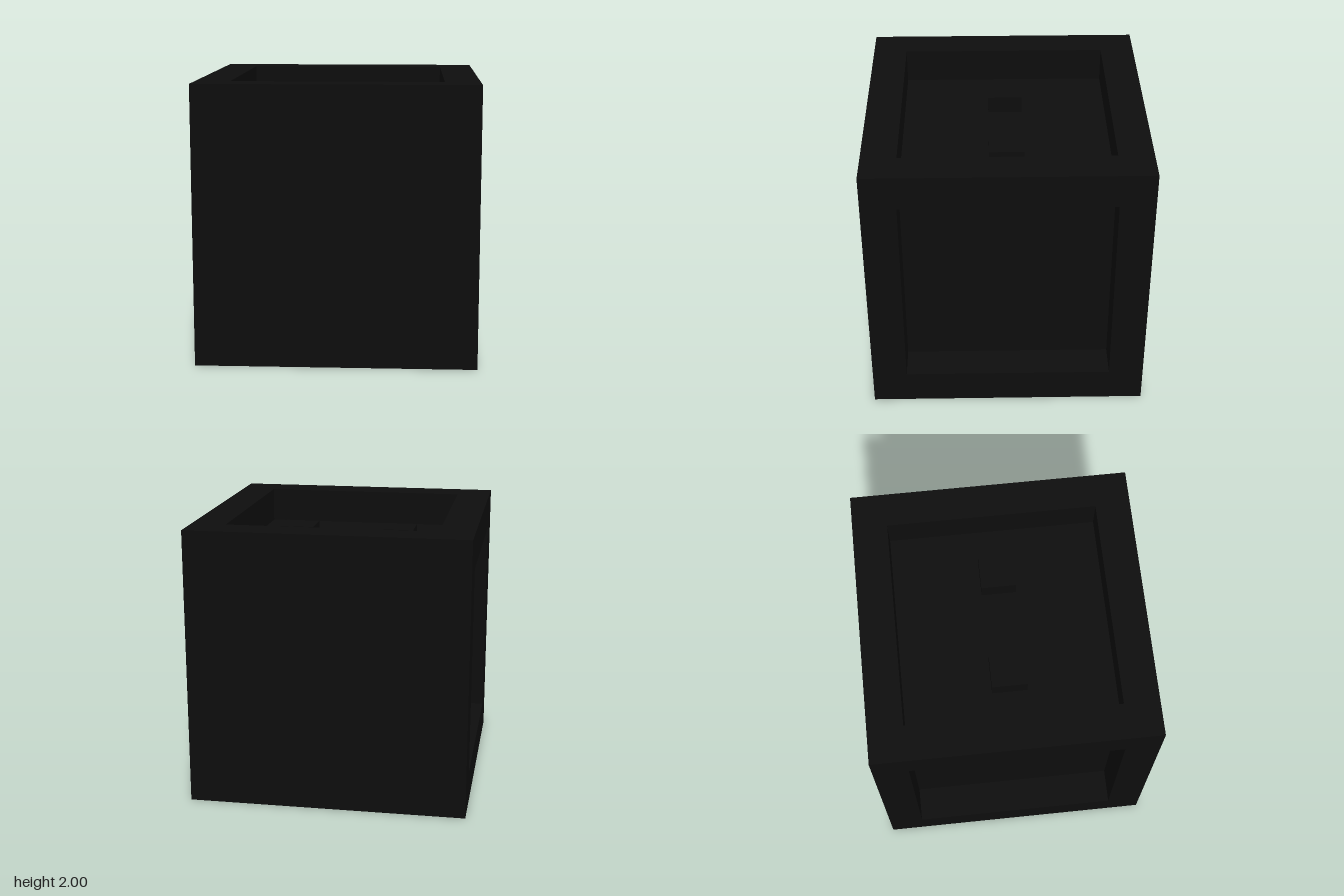
import * as THREE from 'three';

export function createModel() {
  const model = new THREE.Group();
  const black = new THREE.MeshStandardMaterial({ color: 0x0d0d0d });
  black.name = 'black';

  const size = 2, rim = 0.25, inner = size - 2 * rim;
  const box = (name, w, h, d, x, y, z) => {
    const mesh = new THREE.Mesh(new THREE.BoxGeometry(w, h, d), black);
    mesh.name = name;
    mesh.position.set(x, y, z);
    model.add(mesh);
  };

  // Core: its top, bottom and sides are the floors of the recessed panels
  box('core', inner, inner, inner, 0, 1, 0);

  // Plain front and back plates
  box('frontPlate', size, size, rim, 0, 1, 1 - rim / 2);
  box('backPlate', size, size, rim, 0, 1, -1 + rim / 2);

  for (const [side, s] of [['left', 1], ['right', -1]]) {
    // Corner beams joining the plates and framing the recesses
    box(side + 'TopBeam', rim, rim, inner, s * (1 - rim / 2), size - rim / 2, 0);
    box(side + 'BottomBeam', rim, rim, inner, s * (1 - rim / 2), rim / 2, 0);

    // Stud standing on the floor of the top recess
    box(side + 'Stud', 0.25, 0.125, 0.25, s * 0.375, size - rim + 0.0625, 0);
  }

  return model;
}
